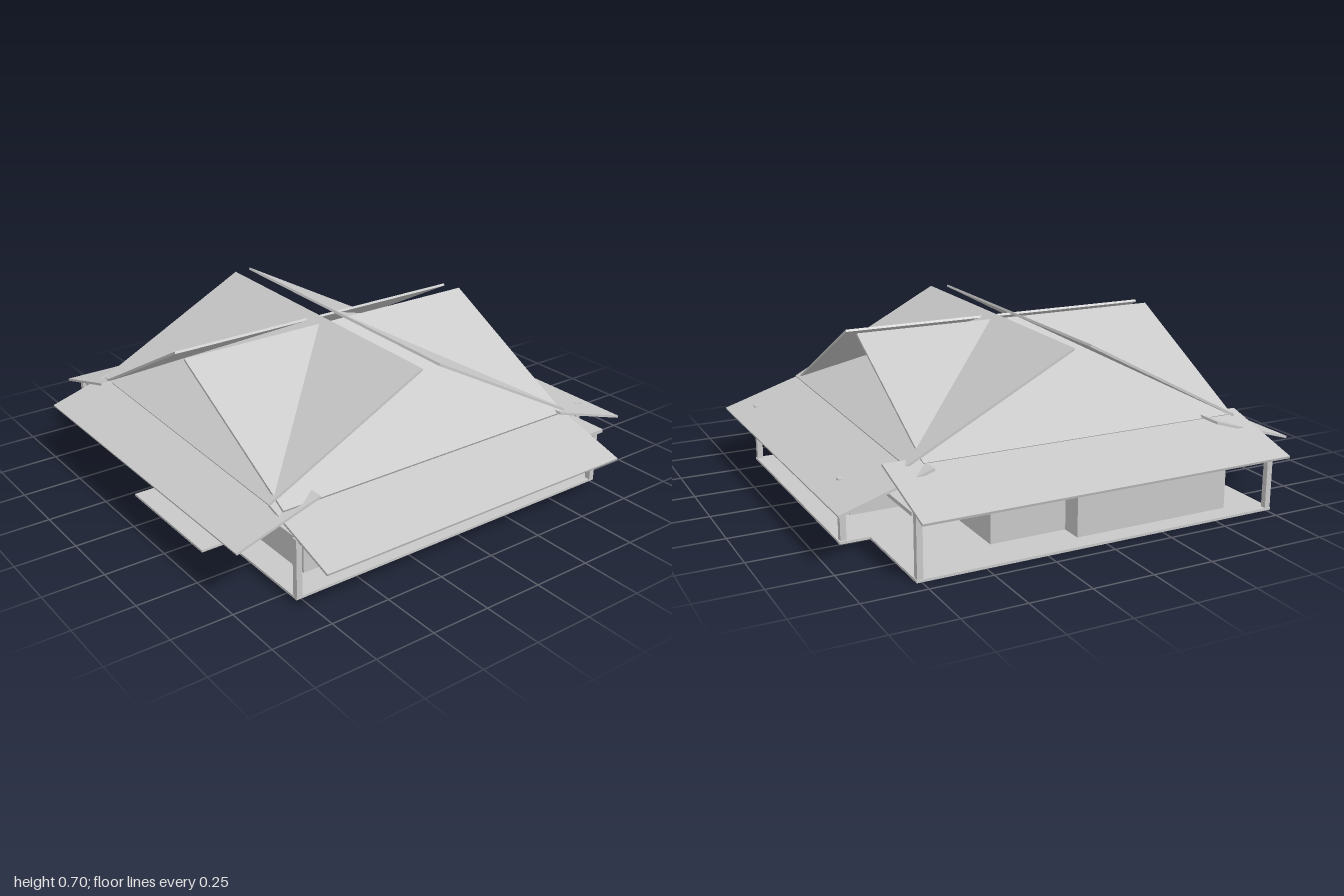
import * as THREE from 'three';

export function createModel() {
  const house = new THREE.Group();
  house.name = 'house';
  const plaster = new THREE.MeshStandardMaterial({ color: 0xc8c8c8 });
  plaster.name = 'pale grey';

  const add = (name, geometry) => {
    const mesh = new THREE.Mesh(geometry, plaster);
    mesh.name = name;
    house.add(mesh);
    return mesh;
  };

  // Box given by its limits on each axis
  const block = (name, x0, x1, y0, y1, z0, z1) => {
    const mesh = add(name, new THREE.BoxGeometry(x1 - x0, y1 - y0, z1 - z0));
    mesh.position.set((x0 + x1) / 2, (y0 + y1) / 2, (z0 + z1) / 2);
  };

  // Sloping roof panel from the middle of its eave to the middle of its top edge
  const panel = (name, eave, top, width) => {
    const a = new THREE.Vector3(...eave), b = new THREE.Vector3(...top);
    const slope = b.clone().sub(a);
    const mesh = add(name, new THREE.BoxGeometry(width, 0.01, slope.length()));
    slope.normalize();
    const side = new THREE.Vector3(0, 1, 0).cross(slope).normalize();
    const normal = slope.clone().cross(side);
    mesh.quaternion.setFromRotationMatrix(new THREE.Matrix4().makeBasis(side, normal, slope));
    mesh.position.copy(a).add(b).multiplyScalar(0.5);
  };

  // Floor with a stepped back edge and an entrance step at the front
  const outline = [[-0.94, 0.77], [-0.22, 0.77], [-0.22, 0.88], [0.33, 0.88], [0.33, 0.77], [0.81, 0.77],
    [0.81, -0.77], [0.6, -0.77], [0.6, -0.89], [-0.5, -0.89], [-0.5, -0.77], [-0.94, -0.77]];
  const shape = new THREE.Shape(outline.map(([x, z]) => new THREE.Vector2(x, -z)));
  const floor = new THREE.ExtrudeGeometry(shape, { depth: 0.01, bevelEnabled: false });
  add('floor', floor.rotateX(-Math.PI / 2));

  // Rooms, with a recessed entrance between the front ones
  const wallTop = 0.236;
  const rooms = [
    ['frontRightRoom', -0.77, -0.05, -0.4, 0.655],
    ['frontLeftRoom', 0.1, 0.69, -0.27, 0.655],
    ['hall', -0.06, 0.11, -0.4, 0.5],
    ['sideRoom', -0.86, -0.76, -0.08, 0.6],
    ['backRoom', -0.26, 0.4, -0.76, -0.26],
    ['backCornerRoom', 0.39, 0.52, -0.55, -0.26],
  ];
  for (const [name, x0, x1, z0, z1] of rooms) block(name, x0, x1, 0.005, wallTop, z0, z1);

  // Entrance door with its side post and the wall above
  block('door', -0.045, 0.06, 0.01, 0.205, 0.495, 0.508);
  block('doorPost', 0.06, 0.1, 0.01, 0.205, 0.49, 0.64);
  block('doorLintel', -0.05, 0.1, 0.205, wallTop, 0.49, 0.654);

  // Ceiling plate
  block('ceiling', -0.905, 0.835, 0.235, 0.25, -0.77, 0.76);

  // Verandah posts
  const posts = [[-0.925, 0.757, 0.25], [0.8, 0.757, 0.25], [0.8, -0.755, 0.25],
    [-0.925, -0.755, 0.25], [0.59, -0.875, 0.255], [-0.48, -0.872, 0.255]];
  for (const [x, z, h] of posts) block('verandahPost', x - 0.012, x + 0.012, 0.005, h, z - 0.012, z + 0.012);

  // Crossing upper roof panels; front and back ones are turned slightly
  panel('upperRoofBack', [0.02, 0.33, -0.67], [0, 0.695, 0.01], 1.4);
  panel('upperRoofFront', [-0.015, 0.335, 0.77], [0.005, 0.695, 0.09], 1.38);
  panel('upperRoofRight', [-0.68, 0.33, 0.065], [-0.03, 0.678, 0.065], 1.38);
  panel('upperRoofLeft', [0.72, 0.32, 0.06], [0.05, 0.678, 0.06], 1.4);

  // Lower verandah roof panels
  panel('lowerRoofBack', [-0.005, 0.213, -0.977], [-0.005, 0.33, -0.61], 1.49);
  panel('lowerRoofFront', [-0.02, 0.23, 0.97], [-0.02, 0.34, 0.61], 1.52);
  panel('lowerRoofRight', [-1, 0.235, 0.015], [-0.64, 0.338, 0.015], 1.57);
  panel('lowerRoofLeft', [1, 0.205, 0.045], [0.64, 0.313, 0.045], 1.45);

  return house;
}
